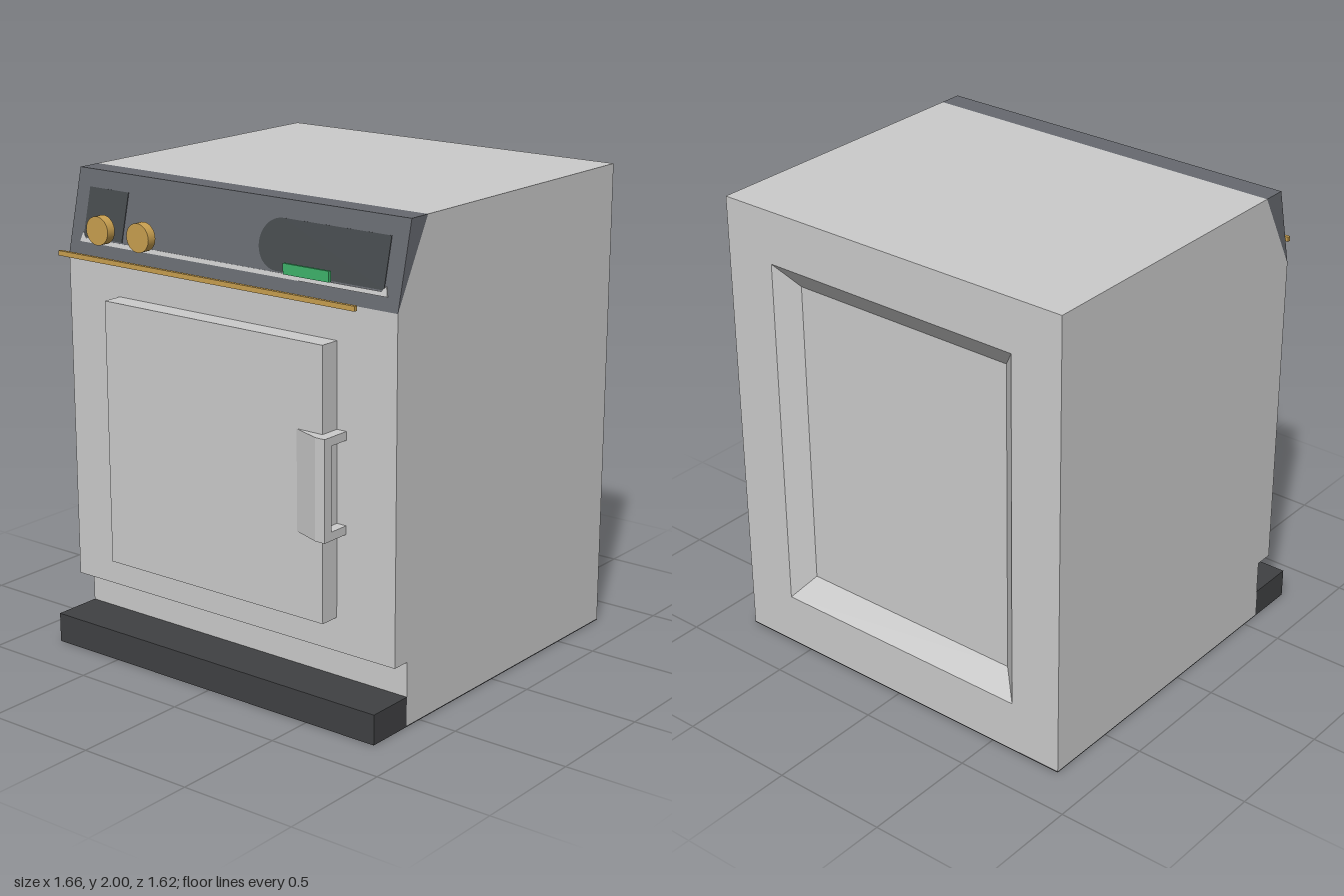
import * as THREE from 'three';

const mat = (color) => new THREE.MeshStandardMaterial({ color });
const grey = mat(0xcccccc);
const panelDark = mat(0x66696f);
const recessDark = mat(0x45494c);
const baseDark = mat(0x404143);
const brass = mat(0xc9a050);
const green = mat(0x3fb56c);

const HALF_W = 0.83, BACK = -0.81, FLOOR_Z = -0.735;

function add(parent, name, geometry, material) {
  const mesh = new THREE.Mesh(geometry, material);
  mesh.name = name;
  parent.add(mesh);
  return mesh;
}

// Box given by its limits on each axis
function box(x0, x1, y0, y1, z0, z1) {
  return new THREE.BoxGeometry(x1 - x0, y1 - y0, z1 - z0)
    .translate((x0 + x1) / 2, (y0 + y1) / 2, (z0 + z1) / 2);
}

const shapeOf = (pts) => new THREE.Shape(pts.map(([x, y]) => new THREE.Vector2(x, y)));
const extrude = (shape, depth) =>
  new THREE.ExtrudeGeometry(shape, { depth, bevelEnabled: false, curveSegments: 16 });

// Side profile of [z, y] points, run across the full width
function acrossWidth(pts) {
  return extrude(shapeOf(pts), HALF_W * 2).translate(0, 0, -HALF_W).rotateY(-Math.PI / 2);
}

// Rectangular rings joined in order: [halfWidth, yLow, yHigh, z]
function rectLoft(rings) {
  const corners = rings.map(([w, lo, hi, z]) => [[w, hi, z], [w, lo, z], [-w, lo, z], [-w, hi, z]]);
  const pos = [];
  for (let i = 0; i < corners.length - 1; i++) {
    for (let k = 0; k < 4; k++) {
      const n = (k + 1) % 4;
      const a = corners[i][k], b = corners[i][n], c = corners[i + 1][n], d = corners[i + 1][k];
      pos.push(...a, ...b, ...c, ...a, ...c, ...d);
    }
  }
  const g = new THREE.BufferGeometry();
  g.setAttribute('position', new THREE.Float32BufferAttribute(pos, 3));
  g.computeVertexNormals();
  return g;
}

export function createModel() {
  const model = new THREE.Group();
  model.name = 'appliance';

  // Cabinet with toe recess and a cut-back top front edge
  add(model, 'cabinet', acrossWidth([
    [FLOOR_Z, 0.005], [0.585, 0.005], [0.585, 0.27], [0.665, 0.27],
    [0.665, 1.66], [0.485, 2], [FLOOR_Z, 2],
  ]), grey);

  // Back frame with sloping sides around a sunken panel
  add(model, 'backFrame', rectLoft([
    [HALF_W, 0.005, 2, FLOOR_Z], [HALF_W, 0.005, 2, BACK],
    [0.6, 0.225, 1.775, BACK], [0.517, 0.325, 1.675, FLOOR_Z],
  ]), grey);

  // Plinth stepping out at the front, thin under the cabinet
  add(model, 'plinth', acrossWidth([
    [BACK, 0], [0.795, 0], [0.795, 0.125], [0.585, 0.125], [0.585, 0.005], [BACK, 0.005],
  ]), baseDark);

  // Sloping control panel wedge
  add(model, 'controlPanel', acrossWidth([[0.665, 1.66], [0.585, 2], [0.485, 2]]), panelDark);

  // Insets lying on the panel slope
  const slope = new THREE.Group();
  slope.name = 'panelInsets';
  slope.position.set(0, 1.66, 0.665);
  slope.rotation.x = -Math.atan2(0.08, 0.34);
  model.add(slope);

  add(slope, 'leftInset', box(-0.76, -0.55, 0.075, 0.277, -0.002, 0.003), recessDark);

  const r = 0.101, cy = 0.176;
  const rounded = new THREE.Shape();
  rounded.moveTo(0.755, cy - r);
  rounded.lineTo(0.755, cy + r);
  rounded.lineTo(0.145 + r, cy + r);
  rounded.absarc(0.145 + r, cy, r, Math.PI / 2, Math.PI * 1.5, false);
  rounded.closePath();
  add(slope, 'roundedInset', extrude(rounded, 0.005).translate(0, 0, -0.002), recessDark);

  add(slope, 'panelLip', extrude(shapeOf([
    [-0.775, 0.053], [0.775, 0.053], [0.765, 0.092], [0.745, 0.07], [-0.745, 0.07], [-0.765, 0.092],
  ]), 0.006).translate(0, 0, -0.002), grey);

  // Knobs, display and trim bar standing in front of the panel
  for (const x of [-0.535, -0.32]) {
    add(model, 'knob', new THREE.CylinderGeometry(0.058, 0.058, 0.04, 32)
      .rotateX(Math.PI / 2).translate(x, 1.81, 0.785), brass);
  }
  add(model, 'display', box(0.4, 0.615, 1.77, 1.812, 0.785, 0.797), green);
  add(model, 'trimBar', box(-0.747, 0.743, 1.684, 1.704, 0.795, 0.81), brass);

  // Door
  add(model, 'door', box(-0.555, 0.55, 0.41, 1.515, 0.66, 0.752), grey);

  // Handle: tapered grip plate carried by two arms
  const handle = new THREE.Group();
  handle.name = 'doorHandle';
  model.add(handle);
  const grip = shapeOf([[0.42, -0.75], [0.5, -0.75], [0.595, -0.755], [0.595, -0.797], [0.55, -0.797]].reverse());
  add(handle, 'grip', extrude(grip, 0.41).rotateX(-Math.PI / 2).translate(0, 0.76, 0), grey);
  for (const y of [0.76, 1.135]) {
    add(handle, 'arm', box(0.55, 0.595, y, y + 0.035, 0.66, 0.757), grey);
  }

  return model;
}
